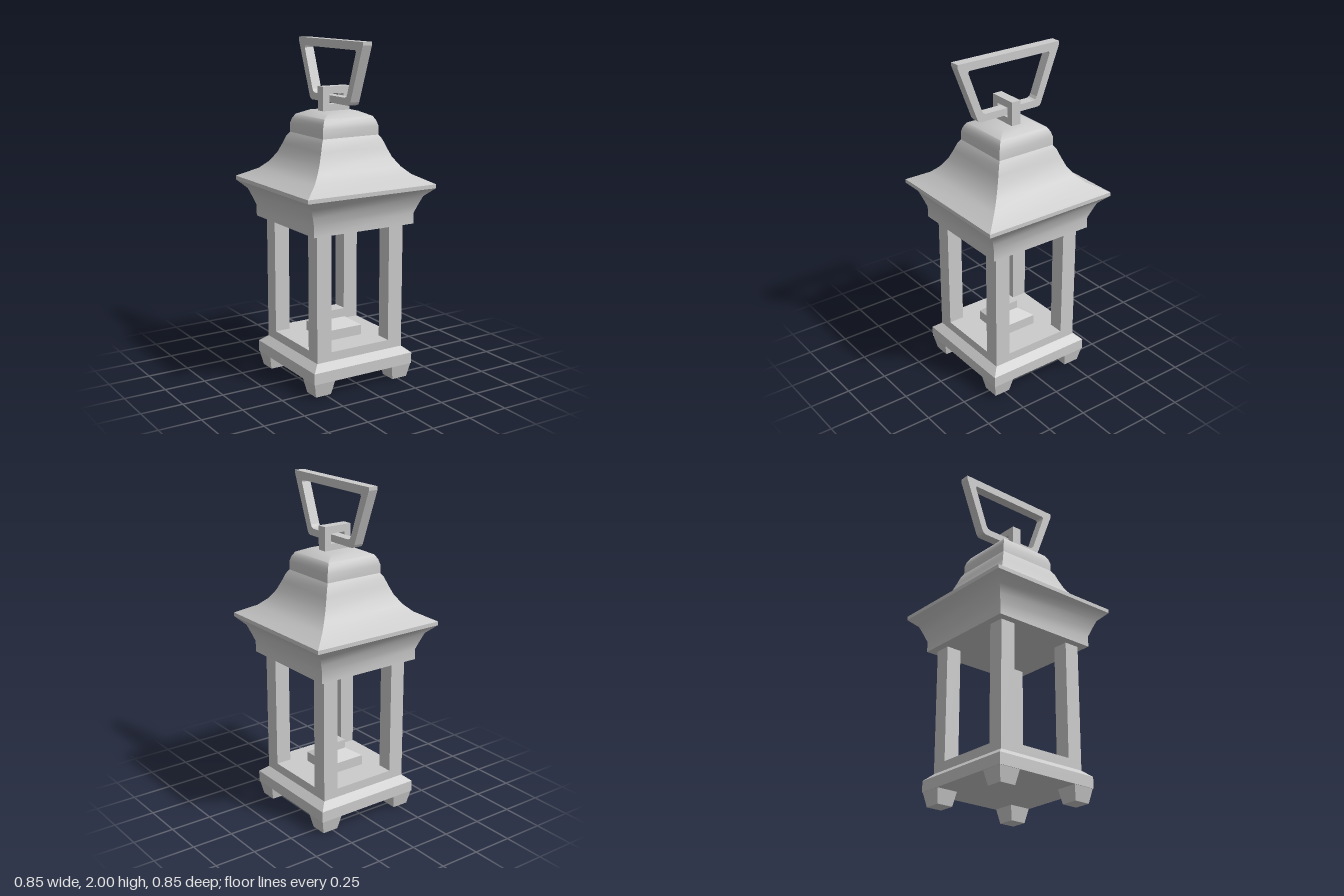
import * as THREE from 'three';
import { toCreasedNormals } from 'three/addons/utils/BufferGeometryUtils.js';

const material = new THREE.MeshStandardMaterial({ color: 0xcccccc });

function part(name, geometry) {
  const mesh = new THREE.Mesh(geometry, material);
  mesh.name = name;
  return mesh;
}

// Closed solid with square cross-sections; profile is [halfWidth, y] from bottom to top.
function squareLoft(profile, crease = 0.1) {
  const pos = [];
  const corner = ([r, y], k) => {
    const a = Math.PI / 4 + (k * Math.PI) / 2;
    return [Math.SQRT2 * r * Math.sin(a), y, Math.SQRT2 * r * Math.cos(a)];
  };
  const quad = (a, b, c, d) => pos.push(...a, ...b, ...c, ...a, ...c, ...d);
  for (let i = 0; i < profile.length - 1; i++) {
    const lo = profile[i], hi = profile[i + 1];
    for (let k = 0; k < 4; k++) quad(corner(lo, k), corner(lo, k + 1), corner(hi, k + 1), corner(hi, k));
  }
  const first = profile[0], last = profile[profile.length - 1];
  quad(...[3, 2, 1, 0].map((k) => corner(first, k)));
  quad(...[0, 1, 2, 3].map((k) => corner(last, k)));
  const geo = new THREE.BufferGeometry();
  geo.setAttribute('position', new THREE.Float32BufferAttribute(pos, 3));
  return toCreasedNormals(geo, crease);
}

// Flat frame: outline with one hole, extruded evenly about z = 0.
function frame(outer, inner, depth) {
  const points = (list) => list.map(([x, y]) => new THREE.Vector2(x, y));
  const shape = new THREE.Shape(points(outer));
  shape.holes.push(new THREE.Path(points(inner)));
  return new THREE.ExtrudeGeometry(shape, { depth, bevelEnabled: false }).translate(0, 0, -depth / 2);
}

// Completes a half outline (x > 0, bottom to top) with its mirror image.
const mirrored = (half) => [...half, ...half.map(([x, y]) => [-x, y]).reverse()];

export function createModel() {
  const model = new THREE.Group();

  // Base slab with bevelled shoulder and raised floor
  model.add(part('base', squareLoft([
    [0.337, 0.085], [0.337, 0.152], [0.292, 0.19], [0.292, 0.243],
  ])));

  // Feet and posts at the four corners
  for (const sx of [-1, 1]) {
    for (const sz of [-1, 1]) {
      const foot = part('foot', squareLoft([[0.05, 0], [0.068, 0.086]]));
      foot.geometry.translate(-0.003 * sx, 0, -0.003 * sz);
      foot.position.set(0.269 * sx, 0, 0.269 * sz);
      const post = part('post', new THREE.BoxGeometry(0.096, 0.74, 0.096));
      post.position.set(0.244 * sx, 0.58, 0.244 * sz);
      model.add(foot, post);
    }
  }

  // Stepped burner on the floor
  model.add(part('burner', squareLoft([
    [0.12, 0.24], [0.12, 0.303], [0.046, 0.348], [0.046, 0.4],
  ])));

  // Flared cornice, sweeping roof and rounded cap
  model.add(part('cornice', squareLoft([
    [0.337, 0.945], [0.337, 1.01], [0.355, 1.06], [0.375, 1.11], [0.427, 1.16], [0.427, 1.183],
  ], 0.65)));
  model.add(part('roof', squareLoft([
    [0.427, 1.183], [0.325, 1.237], [0.28, 1.28], [0.243, 1.335], [0.22, 1.39], [0.203, 1.435], [0.187, 1.46],
  ], 0.55)));
  model.add(part('cap', squareLoft([
    [0.187, 1.455], [0.187, 1.51], [0.178, 1.54], [0.162, 1.567], [0.1, 1.595],
  ], 0.8)));

  // Square loop on the cap
  model.add(part('loop', frame(
    mirrored([[0.09, 1.59], [0.09, 1.735]]),
    mirrored([[0.048, 1.633], [0.048, 1.692]]), 0.06)));

  // Trapezoid carrying handle threaded through the loop
  const handle = frame(
    mirrored([[0.2, 1.64], [0.213, 1.646], [0.222, 1.66], [0.345, 1.98], [0.345, 2]]),
    mirrored([[0.165, 1.682], [0.18, 1.688], [0.19, 1.703], [0.277, 1.94], [0.272, 1.952]]), 0.06);
  model.add(part('handle', handle.rotateY(Math.PI / 2)));

  return model;
}
